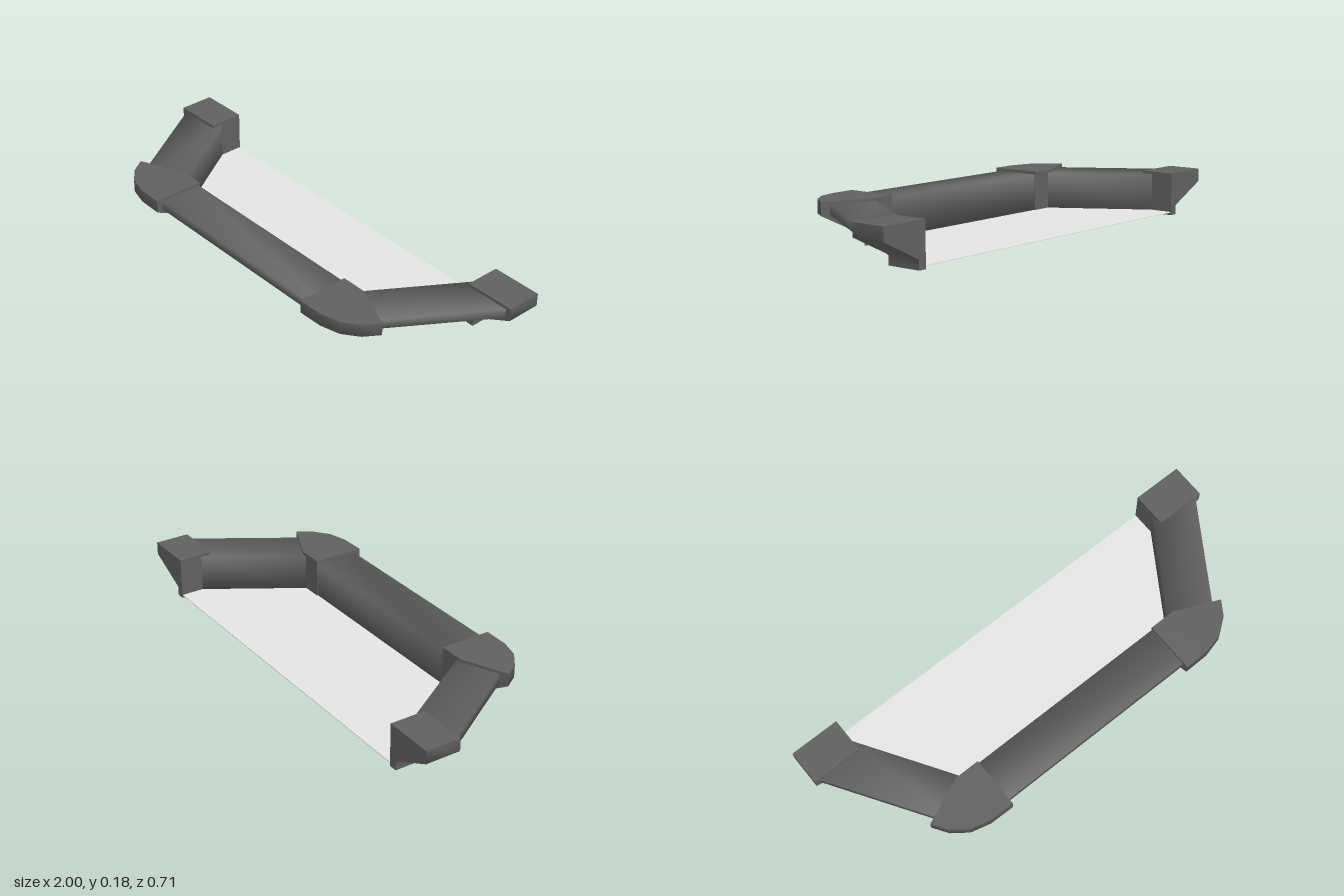
import * as THREE from 'three';
import { toCreasedNormals } from 'three/addons/utils/BufferGeometryUtils.js';

const darkGrey = new THREE.MeshStandardMaterial({ color: 0x606060 });
darkGrey.name = 'dark grey';
const paleGrey = new THREE.MeshStandardMaterial({ color: 0xe4e4e4 });
paleGrey.name = 'pale grey';

// Cross-sections as [share of width from inside to outside, height]
const railProfile = [[0, 0.012], [0, 0.17], [1, 0.17], [1, 0.13], [0.13, 0.055], [0.13, 0.012]];
const jointProfile = [[0, 0], [0, 0.182], [1, 0.182], [1, 0.127], [0.165, 0.04], [0.165, 0]];

// Sweeps a profile through stations [innerX, innerZ, outerX, outerZ]
function sweep(profile, stations, capped, creaseAngle) {
  const n = profile.length, positions = [], index = [];
  for (const [ix, iz, ox, oz] of stations) {
    for (const [d, y] of profile) positions.push(ix + (ox - ix) * d, y, iz + (oz - iz) * d);
  }
  for (let i = 0; i < stations.length - 1; i++) {
    for (let j = 0; j < n; j++) {
      const k = (j + 1) % n;
      const a = i * n + j, b = i * n + k, c = (i + 1) * n + k, d = (i + 1) * n + j;
      index.push(a, b, c, a, c, d);
    }
  }
  if (capped) {
    // Fan from the step corner, which sees the whole profile
    const last = (stations.length - 1) * n;
    for (const [a, b] of [[5, 0], [0, 1], [1, 2], [2, 3]]) {
      index.push(4, b, a, last + 4, last + a, last + b);
    }
  }
  const geometry = new THREE.BufferGeometry();
  geometry.setAttribute('position', new THREE.Float32BufferAttribute(positions, 3));
  geometry.setIndex(index);
  return toCreasedNormals(geometry, creaseAngle);
}

const mirror = (stations) => stations.map(([ix, iz, ox, oz]) => [-ix, iz, -ox, oz]).reverse();

export function createModel() {
  const group = new THREE.Group();
  const add = (name, geometry, material) => {
    const mesh = new THREE.Mesh(geometry, material);
    mesh.name = name;
    group.add(mesh);
  };

  // Softly shaded rail running round three sides
  const railSide = [[0.537, 0.137, 0.638, 0.325], [0.79, -0.26, 0.983, -0.212]];
  add('rail', sweep(railProfile, [...mirror(railSide), ...railSide], false, 1.65), darkGrey);

  // Rounded front corner joints and square rear end joints, crisp only at right angles
  const frontJoint = [
    [0.45, 0.132, 0.45, 0.353], [0.53, 0.132, 0.559, 0.351], [0.54, 0.132, 0.644, 0.329],
    [0.55, 0.132, 0.709, 0.28], [0.56, 0.132, 0.751, 0.216],
  ];
  const rearJoint = [[0.785, -0.203, 1, -0.203], [0.785, -0.353, 1, -0.353]];
  for (const [side, place] of [['left', (s) => s], ['right', mirror]]) {
    add(side + 'FrontJoint', sweep(jointProfile, place(frontJoint), true, 1.25), darkGrey);
    add(side + 'RearJoint', sweep(jointProfile, place(rearJoint), true, 1.25), darkGrey);
  }

  // Thin pale floor plate
  const half = [[0.54, 0.14], [0.787, -0.25], [0.787, -0.351]];
  const outline = [...half, ...half.map(([x, z]) => [-x, z]).reverse()];
  const plate = new THREE.ExtrudeGeometry(
    new THREE.Shape(outline.map(([x, z]) => new THREE.Vector2(x, -z))),
    { depth: 0.003, bevelEnabled: false },
  );
  add('floor', plate.rotateX(-Math.PI / 2).translate(0, 0.011, 0), paleGrey);

  return group;
}
